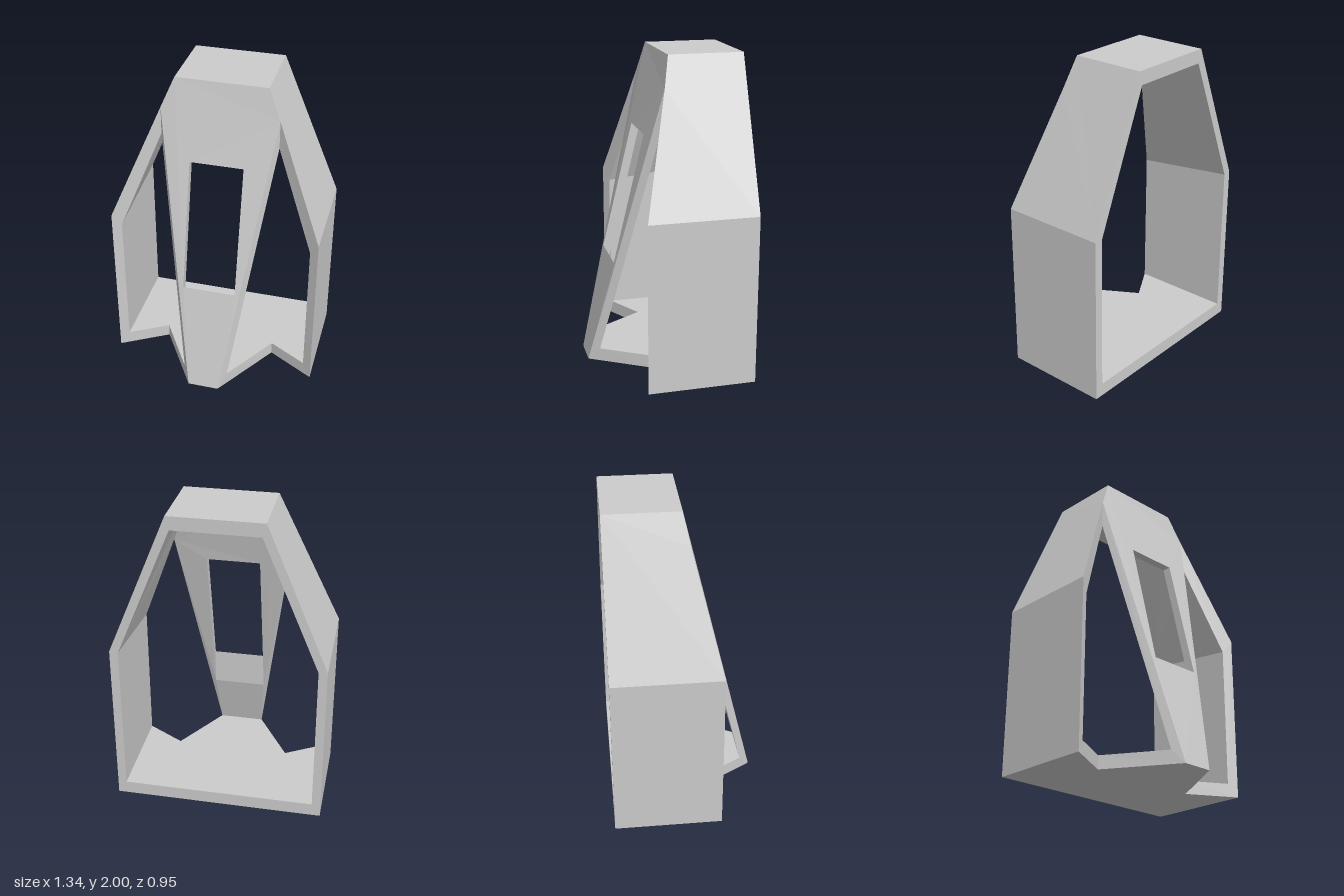
import * as THREE from 'three';

const material = new THREE.MeshStandardMaterial({ color: 0xcccccc, flatShading: true });
const vec = (p) => new THREE.Vector3(...p);
const mirror = (loop) => loop.map(([x, y, z]) => [-x, y, z]);
// Completes a half loop (given on +x) with its mirror image
const both = (half) => [...half, ...mirror(half).reverse()];

// Closed panel between an outer and a matching inner loop, with an optional hole.
// 'drop' is the axis ignored when the two faces are triangulated.
function panel(name, drop, outer, inner, hole) {
  const flat = (p) => new THREE.Vector2(...p.filter((_, i) => i !== drop));
  const mean = (loop) => loop.reduce((s, p) => s.add(vec(p)), new THREE.Vector3()).divideScalar(loop.length);
  const out = mean(outer).sub(mean(inner));
  const normal = (a, b, c) => vec(b).sub(vec(a)).cross(vec(c).sub(vec(a)));
  const pos = [];
  const tri = (a, b, c) => pos.push(...a, ...b, ...c);

  // Outer and inner faces
  [[outer, hole && hole[0], 1], [inner, hole && hole[1], -1]].forEach(([loop, gap, sign]) => {
    const contour = loop.map(flat), gaps = gap ? [gap.map(flat)] : [];
    const points = gap ? [...loop, ...gap] : loop;
    for (const f of THREE.ShapeUtils.triangulateShape(contour, gaps)) {
      const [a, b, c] = f.map((i) => points[i]);
      if (normal(a, b, c).dot(out) * sign > 0) tri(a, b, c);
      else tri(a, c, b);
    }
  });

  // Rims around the outline and the hole
  const rim = (o, n, dir) => {
    const area = new THREE.Vector3();
    o.forEach((p, i) => area.add(vec(p).cross(vec(o[(i + 1) % o.length]))));
    const flip = area.dot(out) * dir < 0;
    o.forEach((p, i) => {
      const j = (i + 1) % o.length;
      const [s, e] = flip ? [j, i] : [i, j];
      tri(o[s], n[s], n[e]);
      tri(o[s], n[e], o[e]);
    });
  };
  rim(outer, inner, 1);
  if (hole) rim(hole[0], hole[1], -1);

  const geometry = new THREE.BufferGeometry();
  geometry.setAttribute('position', new THREE.Float32BufferAttribute(pos, 3));
  geometry.computeVertexNormals();
  const mesh = new THREE.Mesh(geometry, material);
  mesh.name = name;
  return mesh;
}

export function createModel() {
  const group = new THREE.Group();
  group.name = 'hollowTower';
  const back = -0.475;

  // Floor with a notch on either side of the projecting front
  group.add(panel('floor', 1,
    both([[0.67, 0, back], [0.67, 0, 0.21], [0.37, 0, 0.035], [0.1, 0, 0.475]]),
    both([[0.615, 0.085, back], [0.615, 0.085, 0.177], [0.37, 0.085, 0.035], [0.145, 0.085, 0.405]])));

  // Upright walls and the sloping walls above them
  const wall = [
    [[0.67, 0, back], [0.67, 0, 0.21], [0.67, 1.08, 0.21], [0.67, 1.08, back]],
    [[0.615, 0.085, back], [0.615, 0.085, 0.177], [0.615, 1.0, 0.177], [0.615, 1.075, back]],
  ];
  const slope = [
    [[0.67, 1.08, back], [0.67, 1.08, 0.21], [0.37, 1.81, 0.035], [0.29, 2, -0.005], [0.29, 2, back]],
    [[0.615, 1.075, back], [0.615, 1.0, 0.177], [0.37, 1.63, 0.035], [0.267, 1.915, -0.04], [0.267, 1.915, back]],
  ];
  for (const [side, place] of [['left', (l) => l], ['right', mirror]]) {
    group.add(panel(side + 'Wall', 0, ...wall.map(place)));
    group.add(panel(side + 'SlopingWall', 1, ...slope.map(place)));
  }

  // Flat top
  group.add(panel('top', 1,
    both([[0.29, 2, back], [0.29, 2, -0.005]]),
    both([[0.267, 1.915, back], [0.267, 1.915, -0.04]])));

  // Leaning front plate with a window, its sill cut upright
  group.add(panel('frontPlate', 2,
    both([[0.1, 0, 0.475], [0.37, 1.81, 0.035], [0.29, 2, -0.005]]),
    both([[0.145, 0.085, 0.405], [0.37, 1.63, 0.035], [0.267, 1.915, -0.04]]),
    [
      both([[0.17, 0.68, 0.312], [0.17, 1.5, 0.115]]),
      both([[0.17, 0.445, 0.312], [0.17, 1.5, 0.06]]),
    ]));

  return group;
}
